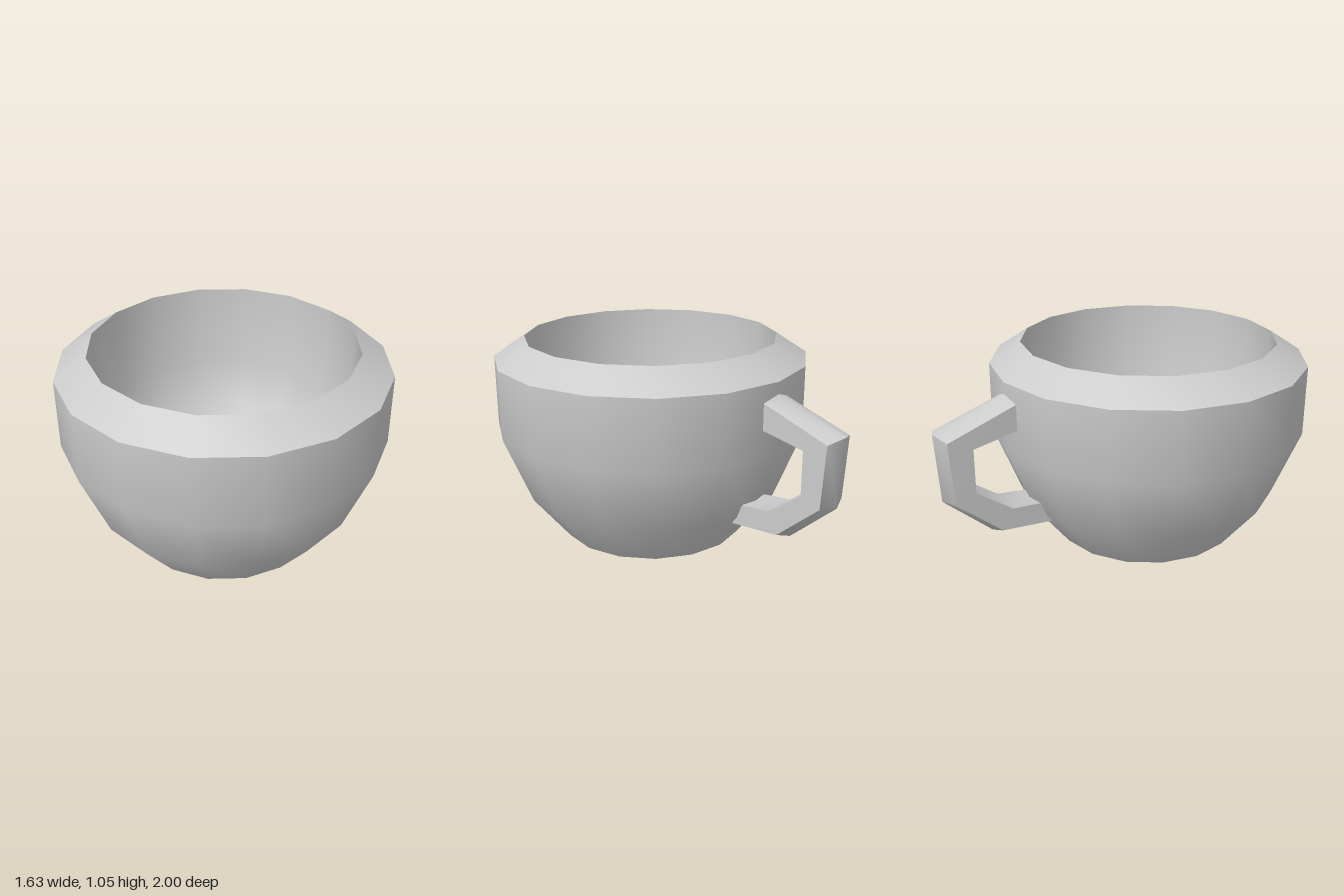
import * as THREE from 'three';
import { toCreasedNormals } from 'three/addons/utils/BufferGeometryUtils.js';

const SIDES = 16;
const CUP_Z = 0.185;
const FLOOR_Y = 0.2;
const FLOOR_R = 0.46;

export function createModel() {
  const group = new THREE.Group();
  const material = new THREE.MeshStandardMaterial({ color: 0xcccccc, side: THREE.DoubleSide });

  const add = (name, geometry) => {
    const mesh = new THREE.Mesh(geometry, material);
    mesh.name = name;
    group.add(mesh);
    return mesh;
  };

  // Cup wall: up the outside from the open foot, over the rim and down the inside
  const profile = [
    [0.485, 0], [0.675, 0.24], [0.815, 0.59], [0.815, 0.95],
    [0.655, 1.055], [0.655, 0.62], [0.58, 0.37], [FLOOR_R, FLOOR_Y],
  ].map(([r, y]) => new THREE.Vector2(r, y));
  const wall = toCreasedNormals(new THREE.LatheGeometry(profile, SIDES), 0.72);
  add('cupWall', wall).position.z = CUP_Z;

  // Cup floor, seen from inside and through the open foot
  const floor = new THREE.CircleGeometry(FLOOR_R, SIDES).rotateX(-Math.PI / 2);
  add('cupFloor', floor).position.set(0, FLOOR_Y, CUP_Z);

  add('handle', handleGeometry());
  return group;
}

// Handle: five-sided section with a ridged outer face, swept through stations.
// Each station holds z, y of the outer ridge, the shoulder and the inner face.
function handleGeometry() {
  const stations = [
    { ridge: [-0.6, 0.9], shoulder: [-0.6, 0.865], inner: [-0.6, 0.73], w: 0.09 },
    { ridge: [-1.0, 0.76], shoulder: [-0.965, 0.74], inner: [-0.84, 0.685], w: 0.095 },
    { ridge: [-0.978, 0.41], shoulder: [-0.945, 0.425], inner: [-0.84, 0.46], w: 0.095 },
    { ridge: [-0.73, 0.19], shoulder: [-0.715, 0.225], inner: [-0.655, 0.33], w: 0.095 },
    { ridge: [-0.43, 0.165], shoulder: [-0.43, 0.2], inner: [-0.49, 0.315], w: 0.09 },
  ];
  const positions = [];
  for (const { ridge, shoulder, inner, w } of stations) {
    const section = [[0, ridge], [w, shoulder], [w, inner], [-w, inner], [-w, shoulder]];
    for (const [x, [z, y]] of section) positions.push(x, y, z);
  }

  const n = 5;
  const index = [];
  for (let s = 0; s < stations.length - 1; s++) {
    for (let i = 0; i < n; i++) {
      const a = s * n + i;
      const b = s * n + ((i + 1) % n);
      index.push(a, a + n, b, b, a + n, b + n);
    }
  }
  // End caps
  const last = (stations.length - 1) * n;
  for (let i = 1; i < n - 1; i++) {
    index.push(0, i, i + 1, last, last + i + 1, last + i);
  }

  const geometry = new THREE.BufferGeometry();
  geometry.setAttribute('position', new THREE.Float32BufferAttribute(positions, 3));
  geometry.setIndex(index);
  return toCreasedNormals(geometry, 0.95);
}
